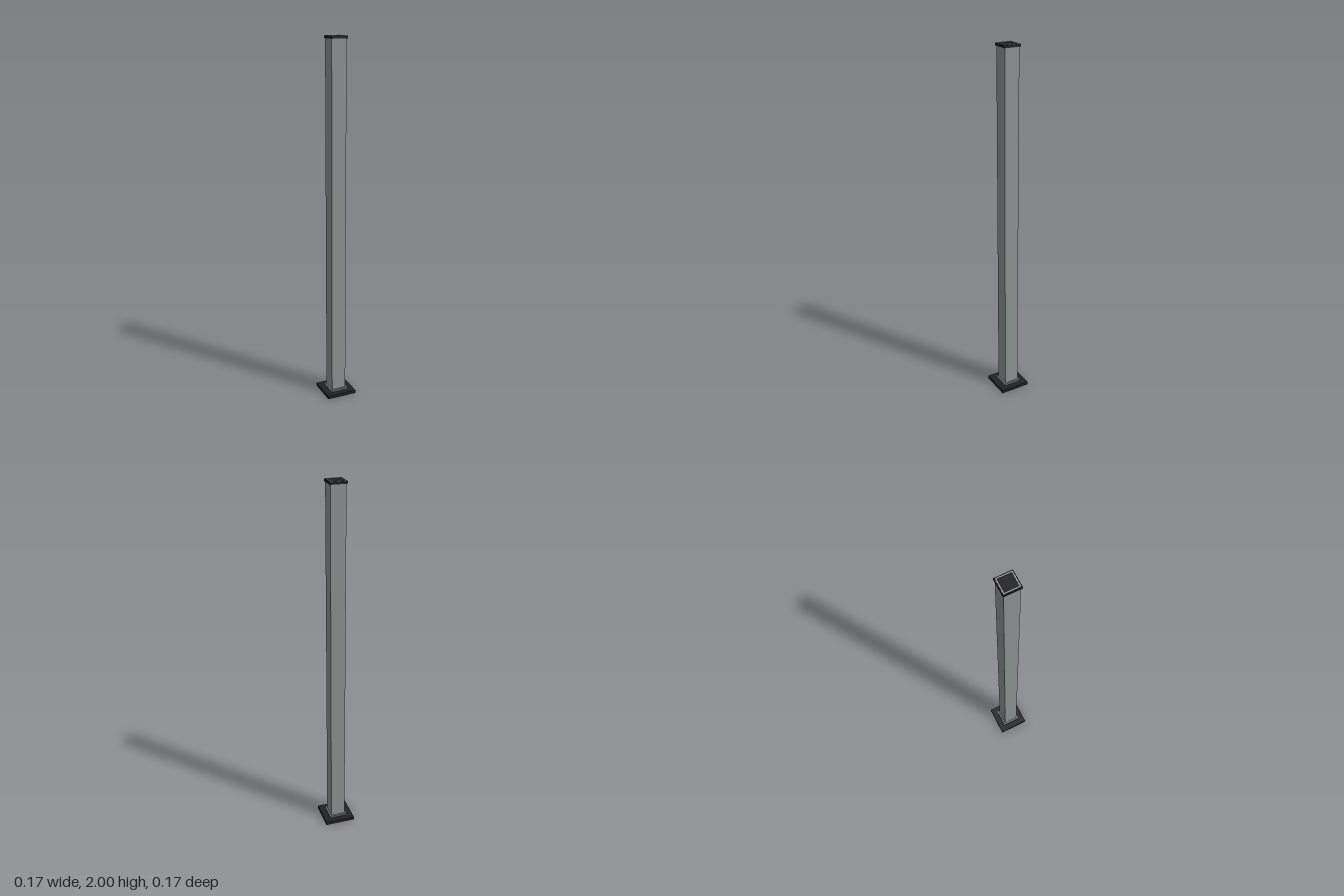
import * as THREE from 'three';

export function createModel() {
  const group = new THREE.Group();
  const material = (name, color) => {
    const m = new THREE.MeshStandardMaterial({ color });
    m.name = name;
    return m;
  };
  const black = material('black plastic', 0x222222);
  const grey = material('post grey', 0x8f9394);
  const darkGrey = material('collar grey', 0x72767a);
  const silver = material('silver trim', 0xaaabad);

  // Square slab of a given width between two heights
  const slab = (name, width, y0, y1, mat) => {
    const mesh = new THREE.Mesh(new THREE.BoxGeometry(width, y1 - y0, width), mat);
    mesh.name = name;
    mesh.position.y = (y0 + y1) / 2;
    group.add(mesh);
  };
  slab('basePlate', 0.171, 0, 0.018, black);
  slab('collar', 0.103, 0.018, 0.029, darkGrey);
  slab('post', 0.082, 0.029, 1.985, grey);
  slab('cap', 0.092, 1.985, 1.998, black);

  // Thin square trim ring on the cap
  const square = (Type, h) => new Type([[-h, -h], [h, -h], [h, h], [-h, h]].map(([x, y]) => new THREE.Vector2(x, y)));
  const ring = square(THREE.Shape, 0.041);
  ring.holes.push(square(THREE.Path, 0.036));
  const trim = new THREE.Mesh(new THREE.ExtrudeGeometry(ring, { depth: 0.002, bevelEnabled: false }), silver);
  trim.name = 'capTrim';
  trim.rotation.x = -Math.PI / 2;
  trim.position.y = 1.998;
  group.add(trim);

  return group;
}
